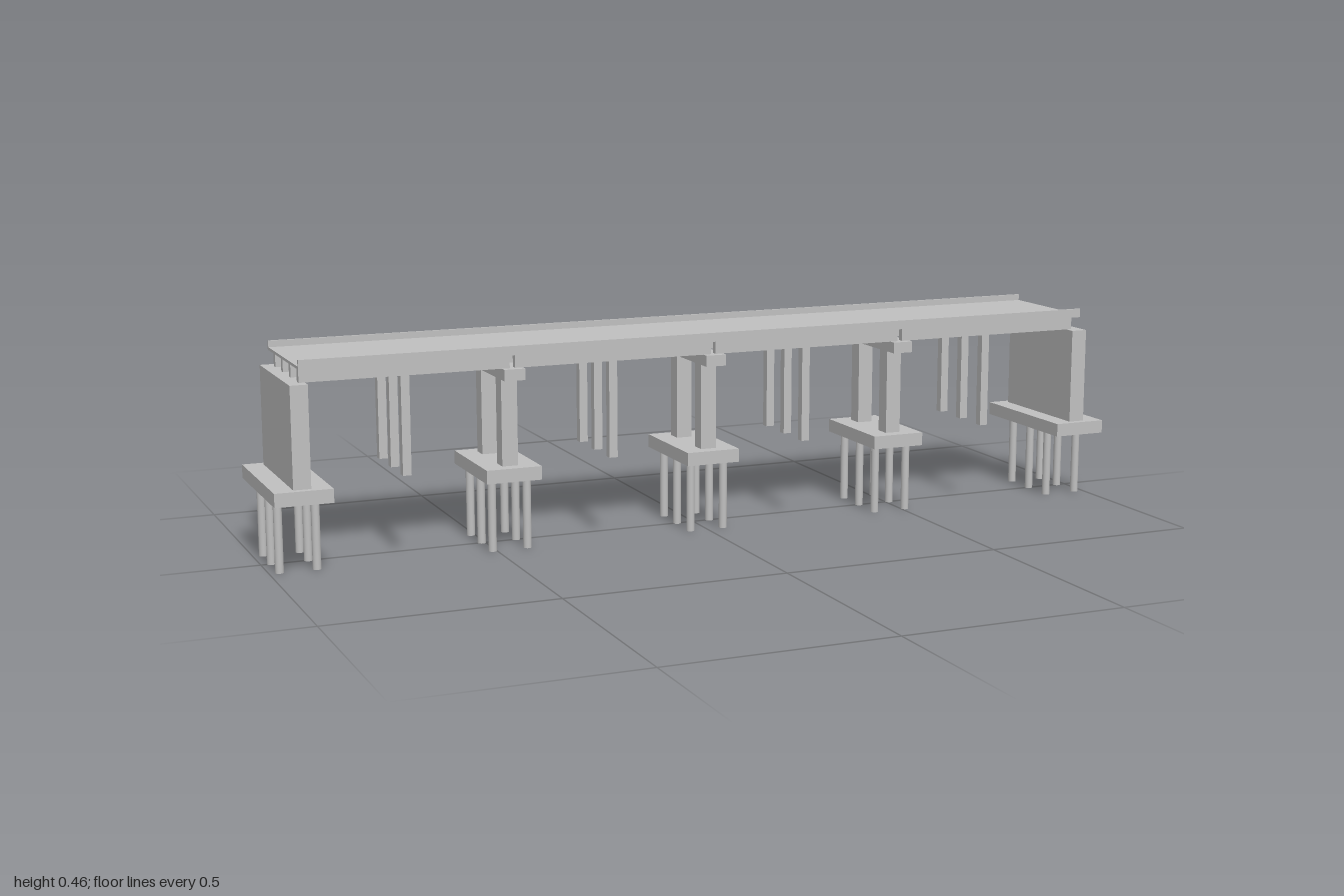
import * as THREE from 'three';

export function createModel() {
  const bridge = new THREE.Group();
  bridge.name = 'bridge';
  const concrete = new THREE.MeshStandardMaterial({ color: 0xc0c0c0 });
  concrete.name = 'concrete grey';

  // Box given by its centre in x and z, its size, and its bottom and top
  const box = (parent, name, x, z, width, depth, bottom, top) => {
    const mesh = new THREE.Mesh(new THREE.BoxGeometry(width, top - bottom, depth), concrete);
    mesh.position.set(x, (bottom + top) / 2, z);
    mesh.name = name;
    parent.add(mesh);
  };

  const group = (name, x) => {
    const g = new THREE.Group();
    g.name = name;
    g.position.x = x;
    bridge.add(g);
    return g;
  };

  const bay = 0.46875; // distance between supports
  const footTop = 0.188, footBottom = 0.158, seat = 0.407;
  const deckBottom = 0.439, deckTop = 0.445;

  // Footing slab on two rows of three round piles
  const pileGeometry = new THREE.CylinderGeometry(0.0092, 0.0092, footBottom, 20);
  const foundation = (parent, depth) => {
    box(parent, 'footing', 0, 0, 0.125, depth, footBottom, footTop);
    for (const x of [-0.04, 0.04]) {
      for (const z of [-0.078, 0, 0.078]) {
        const pile = new THREE.Mesh(pileGeometry, concrete);
        pile.position.set(x, footBottom / 2, z);
        pile.name = 'pile';
        parent.add(pile);
      }
    }
  };

  // Abutments with a solid wall at both ends
  for (const side of [-1, 1]) {
    const abutment = group('abutment', side * bay * 2);
    foundation(abutment, 0.312);
    box(abutment, 'abutmentWall', 0, 0, 0.038, 0.28, footTop, seat);
  }

  // Piers with two columns and a cross beam
  for (const i of [-1, 0, 1]) {
    const pier = group('pier', i * bay);
    foundation(pier, 0.234);
    for (const z of [-0.07, 0.07]) {
      box(pier, 'column', 0, z, 0.036, 0.036, footTop, 0.382);
    }
    box(pier, 'crossBeam', 0, 0, 0.047, 0.26, 0.382, seat);
  }

  // Each span: four girders and a row of slim posts at the middle
  for (let i = 0; i < 4; i++) {
    const span = group('span', (i - 1.5) * bay);
    for (const z of [-0.106, -0.0355, 0.0355, 0.106]) {
      box(span, 'girder', 0, z, bay - 0.012, 0.015, seat, deckBottom);
    }
    for (const z of [-0.094, 0, 0.094]) {
      box(span, 'slimPost', 0, z, 0.019, 0.019, 0.19, seat);
    }
  }

  // Deck slab and edge kerbs
  const deck = group('deck', 0);
  box(deck, 'deckSlab', 0, 0, bay * 4, 0.281, deckBottom, deckTop);
  for (const side of [-1, 1]) {
    box(deck, 'kerb', 0, side * 0.1375, bay * 4, 0.006, deckTop, 0.459);
  }

  return bridge;
}
